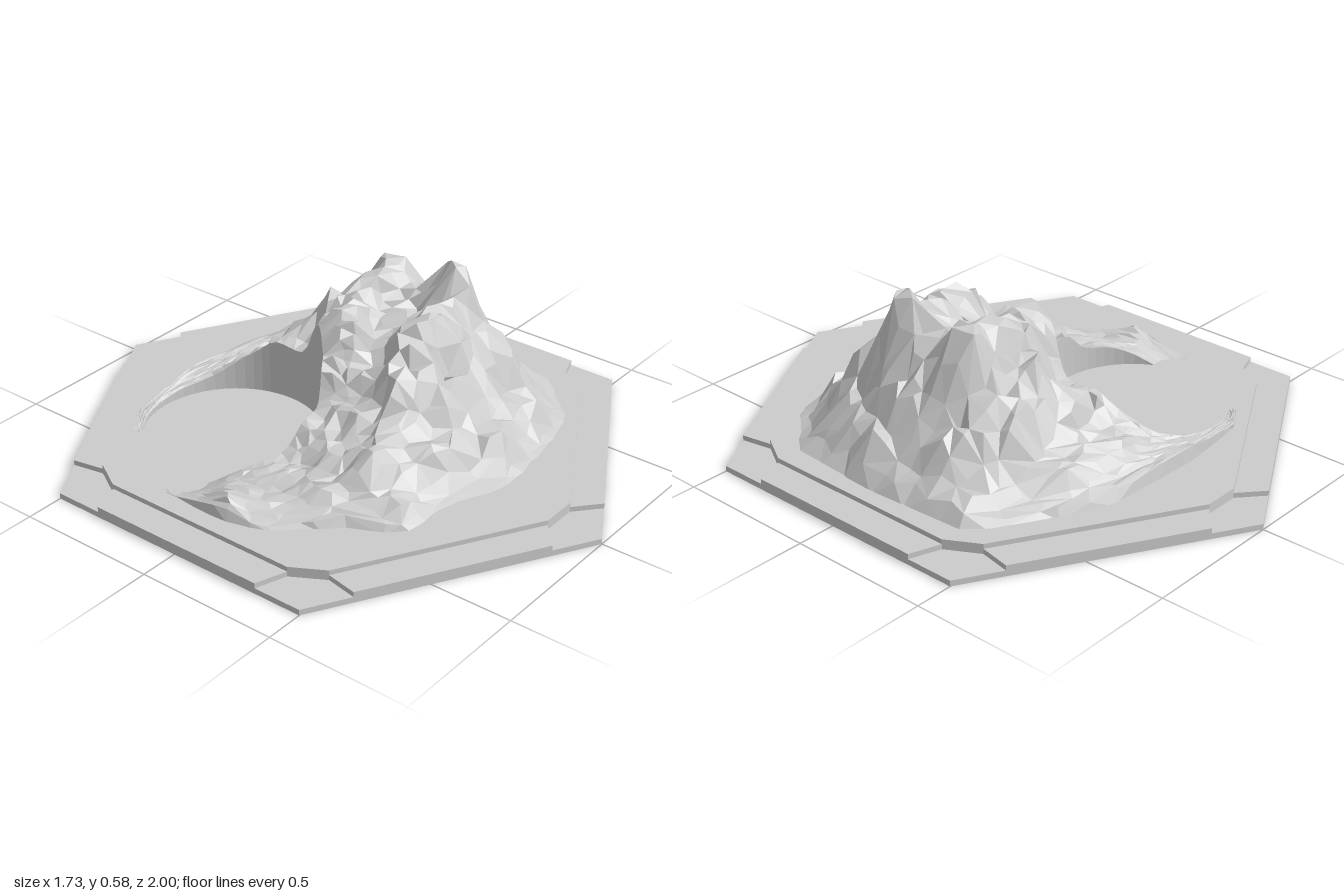
import * as THREE from 'three';

const GROUND = 0.055;
const CRATER = { x: -0.29, z: -0.27, r: 0.305 };

// Spot heights [x, z, y], grouped by landform
const SPOTS = [
  // south ridge
  [.35, .165, .575], [.27, .18, .49], [.17, .2, .47], [.05, .2, .48], [-.05, .25, .38],
  // gully between the ridges
  [.38, .04, .47], [.25, .06, .42], [.1, .08, .38], [-.03, .12, .33], [-.15, .17, .25], [-.28, .18, .18],
  // north ridge
  [.35, -.09, .53], [.2, -.1, .5], [.1, -.06, .47], [0, -.04, .46], [-.1, -.03, .35], [-.22, .04, .22],
  // east flank
  [.47, .05, .34], [.58, .05, .19], [.5, -.2, .25], [.6, -.33, .12], [.52, .25, .21],
  // south flank
  [.35, .32, .36], [.35, .46, .17], [.1, .35, .31], [.1, .5, .17], [-.1, .4, .2], [-.3, .33, .22], [-.35, .46, .12],
  // west foot
  [-.42, .25, .14], [-.55, .12, .1], [-.64, .04, .12], [-.42, .08, .13], [-.6, -.2, .04], [-.52, -.46, .04],
  // north flank
  [.04, -.25, .25], [.1, -.3, .28], [.2, -.2, .4], [.35, -.25, .33], [.1, -.45, .16], [.3, -.45, .16],
];

// Foot of the mountain in order, [x, z, y]
const FOOT = [
  [.69, -.38, .09], [.71, 0, .09], [.69, .36, .07], [.52, .56, .055], [.28, .63, .055], [0, .65, .055],
  [-.2, .57, .055], [-.42, .54, .07], [-.47, .4, .09], [-.66, .2, .06], [-.7, .05, .09], [-.69, -.3, .04],
  [-.58, -.47, .04], [-.38, -.61, .07], [-.1, -.64, .1], [.3, -.62, .08], [.6, -.46, .07],
];

// Spread further spot heights along the foot
FOOT.forEach((p, i) => {
  const q = FOOT[(i + 1) % FOOT.length];
  for (const t of [0, 1 / 3, 2 / 3]) SPOTS.push(p.map((v, n) => v + (q[n] - v) * t));
});

let seed = 7;
function rand() {
  seed = (seed * 16807) % 2147483647;
  return seed / 2147483647 - 0.5;
}

// Inverse-distance blend of the spot heights
function heightAt(x, z) {
  let sum = 0, weights = 0;
  for (const [sx, sz, h] of SPOTS) {
    const w = 1 / (Math.hypot(x - sx, z - sz) ** 3.5 + 1e-6);
    sum += w * h;
    weights += w;
  }
  return sum / weights;
}

// Distance from the crater centre to the foot along a direction
function footDistance(a) {
  const dx = Math.cos(a), dz = Math.sin(a);
  for (let i = 0; i < FOOT.length; i++) {
    const [px, pz] = FOOT[i], [qx, qz] = FOOT[(i + 1) % FOOT.length];
    const ex = qx - px, ez = qz - pz, ox = px - CRATER.x, oz = pz - CRATER.z;
    const det = dx * ez - dz * ex;
    const t = (ox * ez - oz * ex) / det;
    const s = (ox * dz - oz * dx) / det;
    if (t > 0 && s >= -1e-9 && s <= 1 + 1e-9) return t;
  }
  return 0.4;
}

// Rings run from the crater wall outwards to the foot
function mountainGeometry(sides = 66, rings = 15) {
  const positions = [], index = [];
  for (let k = -1; k <= rings; k++) {
    for (let i = 0; i < sides; i++) {
      const inner = k <= 0, outer = k === rings;
      const s = (i + (inner || outer ? 0 : rand() * 0.7)) / sides * Math.PI * 2 - Math.PI;
      const a = 0.7 + s - 0.55 * Math.sin(s);
      const t = inner ? 0 : outer ? 1 : (k + rand() * 0.7) / rings;
      const r = CRATER.r + t * Math.max(footDistance(a) - CRATER.r, 0.03);
      const x = CRATER.x + r * Math.cos(a), z = CRATER.z + r * Math.sin(a);
      let y = GROUND - 0.01;
      if (k >= 0 && !outer) {
        y = heightAt(x, z);
        if (k > 0) y += rand() * Math.min(0.22 * Math.max(y - GROUND, 0), 0.05);
      }
      positions.push(x, y, z);
    }
  }
  for (let k = 0; k <= rings; k++) {
    for (let i = 0; i < sides; i++) {
      const j = (i + 1) % sides;
      const a = k * sides + i, b = k * sides + j, c = a + sides, d = b + sides;
      if ((i + k) % 2) index.push(a, b, c, b, d, c);
      else index.push(a, b, d, a, d, c);
    }
  }
  const geometry = new THREE.BufferGeometry();
  geometry.setAttribute('position', new THREE.Float32BufferAttribute(positions, 3));
  geometry.setIndex(index);
  const flat = geometry.toNonIndexed();
  flat.computeVertexNormals();
  return flat;
}

// Upright slab; corner lists the [out, side] outline points made at each hexagon corner
function slabGeometry(corner, y0, y1) {
  const points = [];
  for (let i = 0; i < 6; i++) {
    const turn = Math.PI / 6 + i * Math.PI / 3;
    for (const [out, side] of corner) {
      points.push(new THREE.Vector2(out, side).rotateAround(new THREE.Vector2(), turn));
    }
  }
  const geometry = new THREE.ExtrudeGeometry(new THREE.Shape(points), { depth: y1 - y0, bevelEnabled: false });
  return geometry.rotateX(-Math.PI / 2).translate(0, y0, 0);
}

export function createModel() {
  const group = new THREE.Group();
  const material = new THREE.MeshStandardMaterial({ color: 0xcccccc, flatShading: true });
  const add = (name, geometry) => {
    const mesh = new THREE.Mesh(geometry, material);
    mesh.name = name;
    group.add(mesh);
  };

  // Stepped hexagonal tile: full base, notched step, clipped plateau
  add('base', slabGeometry([[1, 0]], 0, 0.02));
  add('notchedStep', slabGeometry([[0.914, -0.149], [0.84, -0.064], [0.84, 0.064], [0.914, 0.149]], 0.02, 0.038));
  add('plateau', slabGeometry([[0.84, -0.064], [0.84, 0.064]], 0.02, GROUND));

  // Craggy mountain with a round pit cut into its side
  add('mountain', mountainGeometry());
  return group;
}
